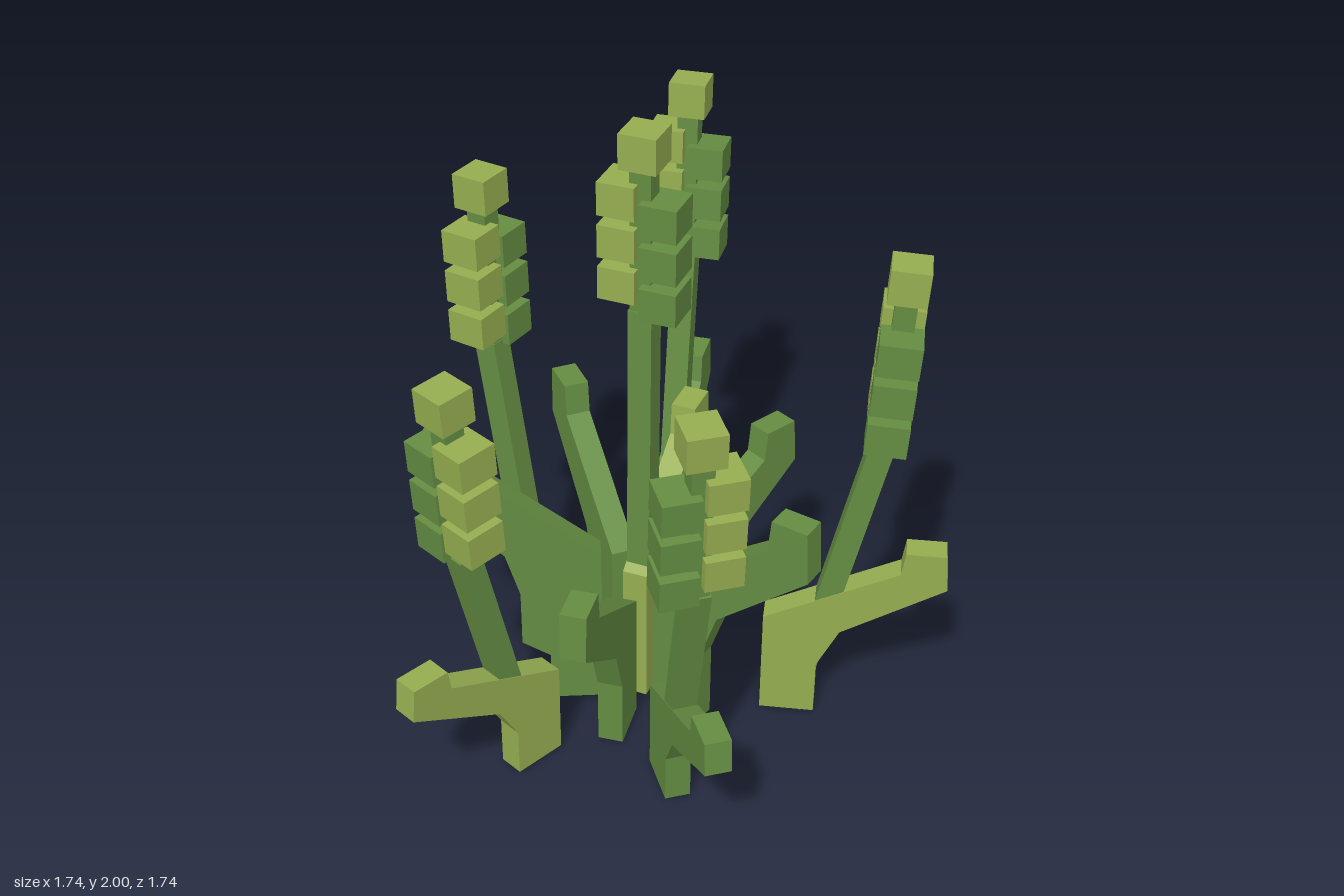
import * as THREE from 'three';

const green = new THREE.MeshStandardMaterial({ color: 0x648c42 });
green.name = 'leaf green';
const lime = new THREE.MeshStandardMaterial({ color: 0x95ad50 });
lime.name = 'yellow green';

const THICK = 0.08;

// Bent leaf side profile: distance outward as a share of length, height as a share of leaf height
const PROFILE = [
  [0, 0.01], [0.31, 0.01], [0.31, 0.3], [0.43, 0.51], [1, 0.81],
  [0.98, 1], [0.76, 1], [0.74, 0.88], [0, 0.565],
];

function box(name, material, size, pos) {
  const mesh = new THREE.Mesh(new THREE.BoxGeometry(...size), material);
  mesh.name = name;
  mesh.position.set(...pos);
  return mesh;
}

function makeLeaf(length, height, material) {
  const shape = new THREE.Shape(PROFILE.map(([r, y]) => new THREE.Vector2(r * length, y * height)));
  const geo = new THREE.ExtrudeGeometry(shape, { depth: THICK, bevelEnabled: false });
  geo.translate(0, 0, -THICK / 2);
  const leaf = new THREE.Mesh(geo, material);
  leaf.name = 'leaf';
  return leaf;
}

// Leaning stem with a head of blocky buds: lime on one side, green on the other
function makeStalk(rBase, rTop, height, lean) {
  const stalk = new THREE.Group();
  stalk.name = 'flowerStalk';
  const headY = height - 0.58;
  const a = new THREE.Vector3(rBase, 0.02, 0);
  const b = new THREE.Vector3(rTop - 0.58 * lean, headY, 0);
  const stem = box('stem', green, [0.075, a.distanceTo(b) + 0.02, 0.075], [0, 0, 0]);
  stem.position.addVectors(a, b).multiplyScalar(0.5);
  stem.rotation.z = -Math.atan2(b.x - a.x, b.y - a.y);
  stalk.add(stem);

  const head = new THREE.Group();
  head.name = 'budHead';
  head.position.copy(b);
  head.rotation.z = -lean;
  head.add(box('neck', green, [0.065, 0.5, 0.065], [0, 0.25, 0]));
  head.add(box('topBud', lime, [0.115, 0.11, 0.115], [0, 0.525, 0]));
  for (let i = 0; i < 3; i++) {
    head.add(box('limeBud', lime, [0.125, 0.105, 0.115], [0, 0.1 + i * 0.135, -0.064]));
    head.add(box('greenBud', green, [0.125, 0.105, 0.115], [0, 0.053 + i * 0.135, 0.064]));
  }
  stalk.add(head);
  return stalk;
}

// inner end [x, z], outer end [x, z], leaf height, material, optional stalk [base, top, height, lean]
const SHOOTS = [
  [[0, -0.14], [0, -0.69], 0.88, green],
  [[0.11, -0.07], [0.61, -0.24], 0.81, green],
  [[-0.1, -0.08], [-0.61, -0.25], 1.03, green],
  [[-0.065, 0.03], [-0.39, 0.46], 0.8, green],
  [[0.055, 0.035], [0.36, 0.48], 0.92, green],
  [[-0.01, -0.02], [0.36, -0.4], 0.88, lime, [0.06, 0.075, 2.0, 0]],
  [[-0.14, -0.27], [-0.46, -0.73], 0.72, green, [0.1, 0.29, 1.73, 0.03]],
  [[0.23, -0.4], [0.56, -0.85], 0.77, green, [0.1, 0.365, 1.82, 0.06]],
  [[0.36, 0.155], [0.85, 0.43], 0.67, lime, [0.1, 0.37, 1.66, 0.06]],
  [[-0.045, 0.3], [-0.105, 0.86], 0.57, green, [0.1, 0.345, 1.5, 0.06]],
  [[-0.335, 0.09], [-0.855, 0.305], 0.57, lime, [0.1, 0.35, 1.5, 0.06]],
];

export function createModel() {
  const model = new THREE.Group();
  model.name = 'plant';
  for (const [[x0, z0], [x1, z1], height, material, stalk] of SHOOTS) {
    const shoot = new THREE.Group();
    shoot.name = 'shoot';
    shoot.position.set(x0, 0, z0);
    shoot.rotation.y = Math.atan2(z0 - z1, x1 - x0);
    shoot.add(makeLeaf(Math.hypot(x1 - x0, z1 - z0), height, material));
    if (stalk) shoot.add(makeStalk(...stalk));
    model.add(shoot);
  }
  return model;
}
